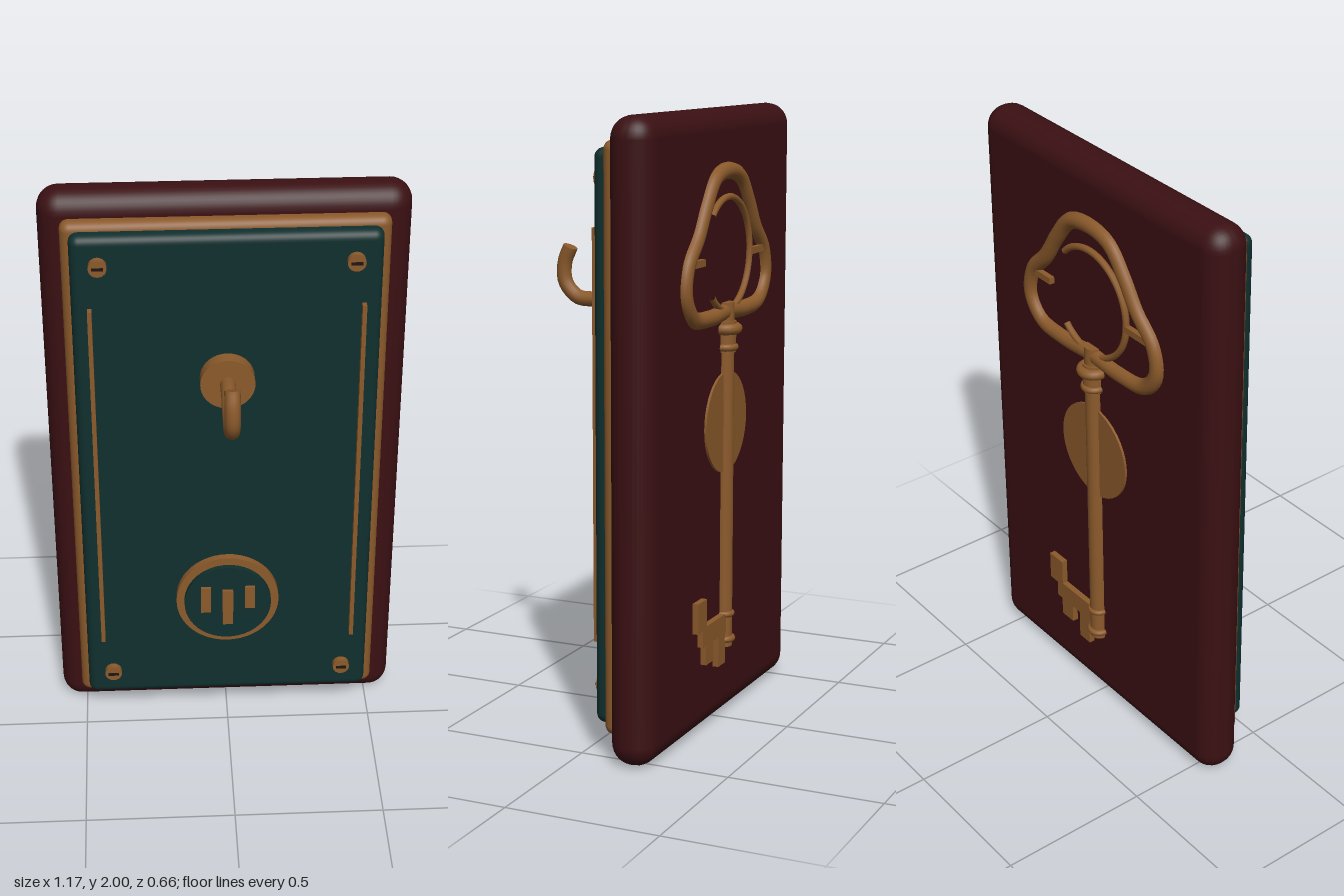
import * as THREE from 'three';
import { RoundedBoxGeometry } from 'three/addons/geometries/RoundedBoxGeometry.js';

export function createModel() {
  const root = new THREE.Group();
  root.name = 'keyHookPlaque';

  const mat = (name, color) => {
    const m = new THREE.MeshStandardMaterial({ color });
    m.name = name;
    return m;
  };
  const wood = mat('dark red wood', 0x3b1013);
  const teal = mat('deep teal', 0x10302f);
  const brass = mat('aged brass', 0x8b5a2b);
  const dark = mat('slot black', 0x1c1512);

  const add = (name, geo, material, x = 0, y = 0, z = 0, parent = root) => {
    const m = new THREE.Mesh(geo, material);
    m.name = name;
    m.position.set(x, y, z);
    parent.add(m);
    return m;
  };
  // box given by its limits
  const box = (name, material, x0, x1, y0, y1, z0, z1, parent = root) =>
    add(name, new THREE.BoxGeometry(x1 - x0, y1 - y0, z1 - z0), material,
      (x0 + x1) / 2, (y0 + y1) / 2, (z0 + z1) / 2, parent);
  // disc facing z
  const disc = (name, material, r, x, y, z0, z1, seg = 32, parent = root) =>
    add(name, new THREE.CylinderGeometry(r, r, z1 - z0, seg).rotateX(Math.PI / 2),
      material, x, y, (z0 + z1) / 2, parent);
  const slab = (name, material, w, h, z0, z1, r) =>
    add(name, new RoundedBoxGeometry(w, h, z1 - z0, 4, r), material, 0, 1, (z0 + z1) / 2);

  // layered plaque
  slab('backBoard', wood, 1.17, 2, -0.27, -0.122, 0.07);
  slab('brassBorder', brass, 1.03, 1.85, -0.15, -0.08, 0.03);
  slab('frontPanel', teal, 0.975, 1.8, -0.11, -0.037, 0.03);

  // corner screws and side trim
  for (const sx of [-1, 1]) {
    for (const y of [0.205, 1.805]) {
      const screw = new THREE.Group();
      screw.name = 'screw';
      screw.position.set(sx * 0.4, y, 0);
      root.add(screw);
      disc('screwHead', brass, 0.029, 0, 0, -0.04, -0.015, 20, screw);
      box('screwSlot', dark, -0.018, 0.018, -0.004, 0.004, -0.018, -0.009, screw);
    }
    box('sideTrim', brass, sx * 0.43 - 0.007, sx * 0.43 + 0.007, 0.35, 1.655, -0.04, -0.013);
  }

  // medallion
  disc('medallionRim', brass, 0.175, 0, 0.52, -0.04, -0.012, 48);
  disc('medallionFace', teal, 0.148, 0, 0.52, -0.013, 0.005, 48);
  for (const [x, w, y0, y1] of [[-0.075, 0.034, 0.488, 0.59], [0, 0.036, 0.435, 0.576], [0.075, 0.034, 0.502, 0.59]])
    box('medallionBar', brass, x - w / 2, x + w / 2, y0, y1, 0, 0.016);

  // hook and its rosette
  disc('hookRosette', brass, 0.088, 0, 1.395, -0.04, 0.01, 36);
  const hookPath = new THREE.CatmullRomCurve3([
    [1.397, 0], [1.397, 0.09], [1.38, 0.145], [1.372, 0.205], [1.378, 0.26],
    [1.425, 0.303], [1.49, 0.305], [1.542, 0.284],
  ].map(([y, z]) => new THREE.Vector3(0, y, z)));
  add('hook', new THREE.TubeGeometry(hookPath, 28, 0.025, 14), brass);
  const tip = add('hookTip', new THREE.CircleGeometry(0.025, 14), brass);
  tip.position.copy(hookPath.getPoint(1));
  tip.lookAt(hookPath.getPoint(1).add(hookPath.getTangent(1)));

  // ornamental key on the back
  const key = new THREE.Group();
  key.name = 'key';
  key.position.z = -0.27;
  root.add(key);
  disc('keyDisc', brass, 0.165, 0, 1.0, -0.008, 0.008, 40, key);

  // three-lobed bow
  const half = [[0.1, 1.785], [0.17, 1.705], [0.23, 1.615], [0.308, 1.53], [0.322, 1.44], [0.265, 1.368], [0.14, 1.352]];
  const bow = [[0, 1.807], ...half, [0, 1.36], ...half.map(([x, y]) => [-x, y]).reverse()]
    .map(([x, y]) => new THREE.Vector3(x, y, 0));
  add('keyBow', new THREE.TubeGeometry(new THREE.CatmullRomCurve3(bow, true), 96, 0.027, 12, true), brass, 0, 0, 0, key);

  // open ring and struts inside the bow
  const ring = new THREE.TorusGeometry(0.18, 0.011, 8, 48, Math.PI * 1.5).rotateZ(Math.PI / 4);
  add('bowRing', ring, brass, 0, 1.545, -0.008, key);
  for (const [x0, x1] of [[0.2, 0.285], [-0.285, -0.175]])
    box('bowStrut', brass, x0, x1, 1.525, 1.547, -0.018, 0.002, key);

  // shaft, neck and collars
  const rod = (name, r, y0, y1) =>
    add(name, new THREE.CylinderGeometry(r, r, y1 - y0, 24), brass, 0, (y0 + y1) / 2, 0, key);
  rod('keyShaft', 0.03, 0.25, 1.39);
  rod('neckSleeve', 0.036, 1.23, 1.33);
  const collars = [[1.305, 0.038, 0.018], [1.245, 0.032, 0.012], [0.36, 0.028, 0.01], [0.275, 0.03, 0.011]];
  for (const [y, r, t] of collars)
    add('keyCollar', new THREE.TorusGeometry(r, t, 10, 28).rotateX(Math.PI / 2), brass, 0, y, 0, key);

  // bit and teeth
  const teeth = [
    [0.02, 0.21, 0.3, 0.365], [0.18, 0.25, 0.355, 0.455],
    [0.125, 0.185, 0.235, 0.31], [0.03, 0.085, 0.2, 0.31],
  ];
  for (const [x0, x1, y0, y1] of teeth) box('keyBit', brass, x0, x1, y0, y1, -0.02, 0.02, key);

  return root;
}
